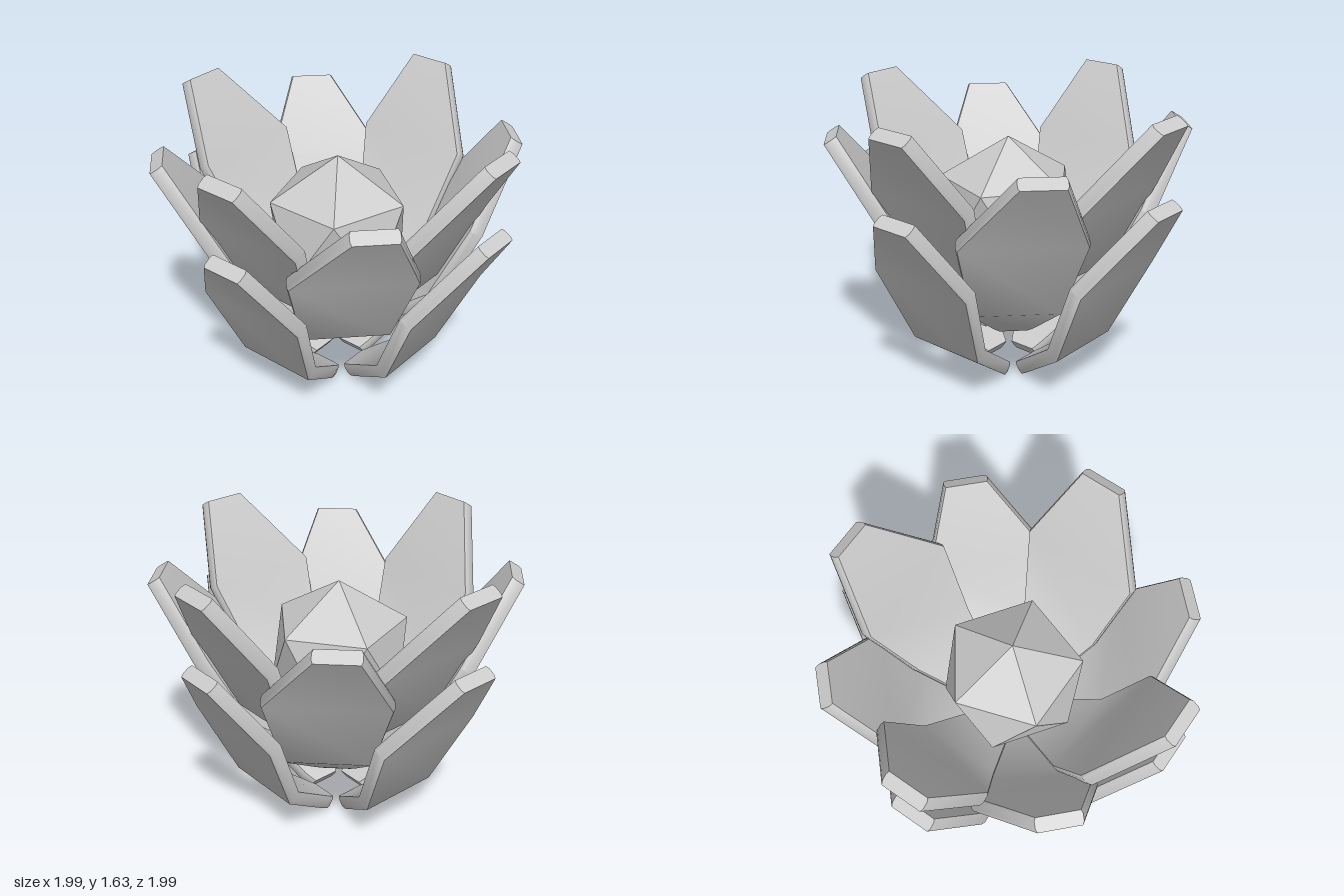
import * as THREE from 'three';
import { toCreasedNormals } from 'three/addons/utils/BufferGeometryUtils.js';

const HALF = 0.04;    // half thickness of a petal
const BEVEL = 0.008;  // inset of its faces from the rim
const BAND = 0.02;    // half height of the rim band

// Petal stations from base to tip: z, y of the mid surface, then left and right edge x
const STATIONS = [
  [0.127, 0.033, -0.085, 0.09],
  [0.18, 0.072, -0.115, 0.12],
  [0.505, 0.315, -0.26, 0.23],
  [0.705, 0.767, -0.335, 0.34],
  [0.962, 1.167, -0.05, 0.19],
];

// A thick petal, bent along its length, with a bevelled rim
function petalGeometry() {
  const path = STATIONS.map(([z, y]) => new THREE.Vector2(z, y));
  const position = [], index = [];
  const last = path.length - 1;
  path.forEach((p, j) => {
    const before = p.clone().sub(path[Math.max(j - 1, 0)]).normalize();
    const after = path[Math.min(j + 1, last)].clone().sub(p).normalize();
    const t = before.clone().add(after).normalize();
    const miter = 1 / t.dot(j < last ? after : before);
    const [, , l, r] = STATIONS[j];
    const loop = [
      [l + BEVEL, -HALF], [r - BEVEL, -HALF], [r, -BAND], [r, BAND],
      [r - BEVEL, HALF], [l + BEVEL, HALF], [l, BAND], [l, -BAND],
    ];
    for (const [x, n] of loop) position.push(x, p.y - t.x * n * miter, p.x + t.y * n * miter);
  });
  const n = 8;
  for (let j = 0; j < last; j++) {
    for (let i = 0; i < n; i++) {
      const a = j * n + i, b = j * n + (i + 1) % n;
      index.push(a, a + n, b + n, a, b + n, b);
    }
  }
  // end caps
  const e = last * n;
  for (let i = 1; i < n - 1; i++) index.push(0, i, i + 1, e, e + i + 1, e + i);
  const geometry = new THREE.BufferGeometry();
  geometry.setAttribute('position', new THREE.Float32BufferAttribute(position, 3));
  geometry.setIndex(index);
  return toCreasedNormals(geometry, 0.75);
}

export function createModel() {
  const model = new THREE.Group();
  model.name = 'flower';
  const material = new THREE.MeshStandardMaterial({ color: 0xcccccc });
  const geometry = petalGeometry();

  // Three tiers of four petals, the middle one turned by an eighth
  const tiers = [
    ['lowerPetals', 0, 0],
    ['middlePetals', 0.275, Math.PI / 4],
    ['upperPetals', 0.445, 0],
  ];
  for (const [name, height, turn] of tiers) {
    const tier = new THREE.Group();
    tier.name = name;
    tier.position.y = height;
    for (let i = 0; i < 4; i++) {
      const petal = new THREE.Mesh(geometry, material);
      petal.name = 'petal';
      petal.rotation.y = turn + i * Math.PI / 2;
      tier.add(petal);
    }
    model.add(tier);
  }

  // Faceted heart, standing on a corner
  const heartGeometry = new THREE.IcosahedronGeometry(0.425, 0);
  heartGeometry.rotateZ(-Math.atan(2 / (1 + Math.sqrt(5))));
  const heart = new THREE.Mesh(
    heartGeometry,
    new THREE.MeshStandardMaterial({ color: 0xcccccc, flatShading: true }),
  );
  heart.name = 'heart';
  heart.position.set(-0.015, 0.965, 0.005);
  model.add(heart);
  return model;
}
